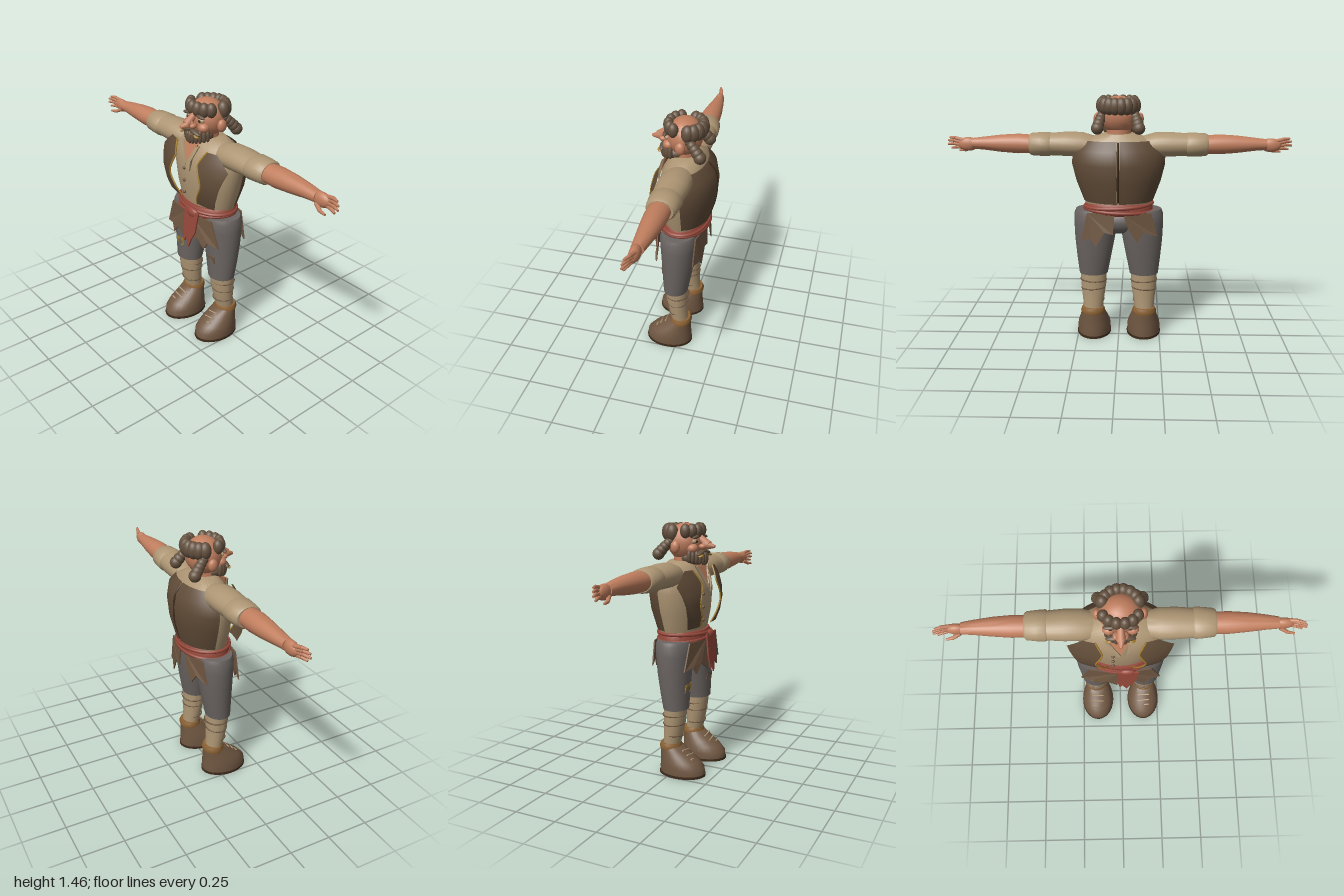
import * as THREE from 'three';
import { toCreasedNormals } from 'three/addons/utils/BufferGeometryUtils.js';

const V = (x, y, z) => new THREE.Vector3(x, y, z);

// Skin elliptical sections [height, cx, cz, rx, rz], angle 0 facing +z
function loft(rows, n = 28, t0 = 0, t1 = Math.PI * 2, caps = true) {
  const pos = [], idx = [], w = n + 1;
  for (const [h, cx, cz, rx, rz] of rows) for (let j = 0; j <= n; j++) {
    const t = t0 + (t1 - t0) * j / n;
    pos.push(cx + rx * Math.sin(t), h, cz + rz * Math.cos(t));
  }
  for (let i = 0; i < rows.length - 1; i++) for (let j = 0; j < n; j++) {
    const a = i * w + j, b = a + 1, c = b + w, d = a + w;
    idx.push(a, b, c, a, c, d);
  }
  if (caps) [0, rows.length - 1].forEach((i, top) => {
    const [h, cx, cz] = rows[i], m = pos.length / 3;
    pos.push(cx, h, cz);
    for (let j = 0; j < n; j++) {
      const a = i * w + j;
      top ? idx.push(m, a, a + 1) : idx.push(m, a + 1, a);
    }
  });
  const g = new THREE.BufferGeometry();
  g.setAttribute('position', new THREE.Float32BufferAttribute(pos, 3));
  g.setIndex(idx);
  return toCreasedNormals(g, 0.8);
}

// Loft running along +x: rows are [x, cz, cy, rz, ry]
function limb(rows) {
  const g = loft(rows, 24), p = g.attributes.position;
  for (let i = 0; i < p.count; i++) p.setXYZ(i, p.getY(i), p.getZ(i), p.getX(i));
  return toCreasedNormals(g, 0.8);
}

function blob(x, y, z, rx, ry, rz, tilt = 0) {
  return new THREE.SphereGeometry(1, 16, 12).scale(rx, ry, rz).rotateZ(tilt).translate(x, y, z);
}

// Tapered rod between two points
function rod(a, b, r0, r1) {
  const d = b.clone().sub(a), g = new THREE.CylinderGeometry(r1, r0, d.length(), 10);
  g.applyQuaternion(new THREE.Quaternion().setFromUnitVectors(V(0, 1, 0), d.clone().normalize()));
  const m = a.clone().add(b).multiplyScalar(0.5);
  return g.translate(m.x, m.y, m.z);
}

// Thin cloth cut from an outline, bent by z = f(x, y)
function cloth(points, f, depth = 0.008) {
  const g = new THREE.ExtrudeGeometry(new THREE.Shape(points.map(p => new THREE.Vector2(...p))),
    { depth, bevelEnabled: false });
  const p = g.attributes.position;
  for (let i = 0; i < p.count; i++) p.setZ(i, p.getZ(i) + f(p.getX(i), p.getY(i)));
  g.computeVertexNormals();
  return g;
}

function mirror(geo) {
  const g = geo.index ? geo.toNonIndexed() : geo.clone();
  g.scale(-1, 1, 1);
  for (const k of ['position', 'normal']) {
    const a = g.attributes[k], u = V(0, 0, 0), v = V(0, 0, 0);
    for (let i = 0; i < a.count; i += 3) {
      u.fromBufferAttribute(a, i + 1); v.fromBufferAttribute(a, i + 2);
      a.setXYZ(i + 1, v.x, v.y, v.z); a.setXYZ(i + 2, u.x, u.y, u.z);
    }
  }
  return g;
}

export function createModel() {
  const root = new THREE.Group();
  root.name = 'villager';
  const mat = (name, color, side = THREE.FrontSide) => {
    const m = new THREE.MeshStandardMaterial({ color, side });
    m.name = name;
    return m;
  };
  const skin = mat('skin', 0xc07e5e), hair = mat('hair', 0x64513f), cream = mat('linen', 0xae9674);
  const vest = mat('vestBrown', 0x604b37, THREE.DoubleSide), grey = mat('trouserGrey', 0x6b6562);
  const red = mat('sashRed', 0x96483a), leather = mat('leather', 0x705742);
  const gold = mat('gold', 0xa8802e), dark = mat('sole', 0x3e2b1b), tan = mat('tan', 0x8c6234);
  const add = (name, geo, m) => {
    const o = new THREE.Mesh(geo, m);
    o.name = name;
    root.add(o);
  };
  const pair = (name, geo, m) => {
    add(name + 'Left', geo, m);
    add(name + 'Right', mirror(geo), m);
  };

  // Shirt body, neck and open collar
  add('shirt', loft([[0.83, 0, -0.01, 0.19, 0.12], [0.95, 0, -0.01, 0.225, 0.14], [1.08, 0, -0.01, 0.25, 0.145],
    [1.16, 0, -0.01, 0.245, 0.13], [1.21, 0, -0.015, 0.215, 0.105], [1.25, 0, -0.015, 0.1, 0.075]]), cream);
  add('neck', loft([[1.16, 0, 0.01, 0.08, 0.09], [1.24, 0, 0.01, 0.072, 0.075], [1.31, 0, 0, 0.07, 0.07]]), skin);
  const chestZ = (x, y) => 0.137 - Math.max(0, y - 1.14) * 0.4 - x * x;
  add('chest', cloth([[-0.075, 1.225], [0, 1.12], [0.05, 1.225]], chestZ), skin);
  add('collarLeft', cloth([[0.07, 1.225], [0.04, 1.21], [0, 1.115], [0.025, 1.07], [0.035, 1.13]],
    (x, y) => chestZ(x, y) + 0.007), cream);
  add('collarRight', cloth([[-0.09, 1.225], [-0.065, 1.225], [0, 1.115], [-0.012, 1.1]],
    (x, y) => chestZ(x, y) + 0.007), cream);
  for (const y of [1.065, 0.99, 0.915]) add('button', blob(-0.042, y, 0.135, 0.01, 0.01, 0.008), leather);

  // Vest: curved back halves and bulging front panels with gold edging
  pair('vestBack', loft([[0.86, 0, 0, 0.205, 0.152], [0.98, 0, 0, 0.25, 0.183], [1.08, 0, 0, 0.275, 0.19],
    [1.16, 0, 0, 0.268, 0.175], [1.215, 0, 0, 0.22, 0.13]], 14, 1.78, 3.11, false), vest);
  add('vestSeam', new THREE.TubeGeometry(new THREE.CatmullRomCurve3([V(0, 0.87, -0.15), V(0, 0.98, -0.18),
    V(0, 1.08, -0.187), V(0, 1.16, -0.172), V(0, 1.21, -0.13)]), 16, 0.006, 6), dark);
  const rows = [[0.88, 0.07, 0.2], [0.94, 0.1, 0.225], [1.02, 0.138, 0.252], [1.08, 0.12, 0.272],
    [1.13, 0.1, 0.29], [1.17, 0.115, 0.25], [1.21, 0.135, 0.2]];
  const panelZ = (x, y) => 0.168 - 1.7 * (y - 1.03) ** 2 - 1.4 * Math.max(0, x - 0.08) ** 2;
  const pos = [], idx = [];
  rows.forEach(([y, a, b], i) => {
    for (let j = 0; j < 6; j++) {
      const x = a + (b - a) * j / 5, k = i * 6 + j;
      pos.push(x, y, panelZ(x, y));
      if (i < rows.length - 1 && j < 5) idx.push(k, k + 1, k + 7, k, k + 7, k + 6);
    }
  });
  const panel = new THREE.BufferGeometry();
  panel.setAttribute('position', new THREE.Float32BufferAttribute(pos, 3));
  panel.setIndex(idx);
  panel.computeVertexNormals();
  pair('vestFront', panel, vest);
  pair('vestTrim', new THREE.TubeGeometry(new THREE.CatmullRomCurve3(
    rows.map(([y, a]) => V(a, y, panelZ(a, y)))), 24, 0.005, 6), gold);

  // Sash with wraps and hanging end
  add('sash', loft([[0.785, 0, -0.005, 0.185, 0.13], [0.795, 0, -0.005, 0.2, 0.14], [0.835, 0, -0.005, 0.2, 0.14],
    [0.853, 0, -0.005, 0.188, 0.132]], 36), red);
  for (const [y, tilt] of [[0.805, 0.04], [0.832, -0.05]])
    add('sashFold', new THREE.TorusGeometry(0.199, 0.01, 8, 40).rotateX(Math.PI / 2).scale(1, 1, 0.72)
      .rotateZ(tilt).translate(0, y, -0.005), red);
  add('sashEnd', cloth([[-0.02, 0.83], [-0.022, 0.7], [-0.005, 0.62], [0.01, 0.65], [0.035, 0.595], [0.055, 0.65],
    [0.085, 0.7], [0.105, 0.83]], (x, y) => 0.142 + (0.83 - y) * 0.09, 0.009), red);
  add('sashKnot', blob(0.04, 0.815, 0.14, 0.05, 0.03, 0.02), red);

  // Ragged coat tails, front and back
  const tail = [[-0.02, 0.8], [-0.18, 0.8], [-0.235, 0.645], [-0.165, 0.66], [-0.14, 0.615], [-0.09, 0.67], [-0.02, 0.625]];
  pair('frontTail', cloth(tail.slice().reverse(), (x, y) => 0.136 - x * x * 0.8 + (0.8 - y) * 0.08), leather);
  add('backTailRight', cloth([[-0.03, 0.8], [-0.19, 0.8], [-0.23, 0.66], [-0.15, 0.69], [-0.11, 0.63], [-0.06, 0.71]],
    (x, y) => -0.142 + x * x * 0.9 - (0.8 - y) * 0.05), leather);
  add('backTailLeft', cloth([[0.02, 0.8], [0.18, 0.8], [0.22, 0.63], [0.16, 0.65], [0.13, 0.6], [0.08, 0.69], [0.03, 0.68]],
    (x, y) => -0.142 + x * x * 0.9 - (0.8 - y) * 0.05), leather);

  // Trousers, knee patches, leg wraps
  add('trouserSeat', blob(0, 0.735, 0, 0.14, 0.085, 0.1), grey);
  pair('trouserLeg', loft([[0.4, 0.152, 0.015, 0.086, 0.073], [0.5, 0.148, 0.008, 0.101, 0.084],
    [0.62, 0.142, 0.002, 0.118, 0.096], [0.72, 0.136, 0, 0.128, 0.105], [0.78, 0.134, 0, 0.128, 0.108],
    [0.805, 0.13, 0, 0.122, 0.1]]), grey);
  const patch = x => cloth([[x - 0.035, 0.505], [x + 0.02, 0.5], [x + 0.036, 0.515], [x + 0.034, 0.555], [x - 0.03, 0.55]],
    (px, py) => 0.09 - (py - 0.53) * -0.1 - (Math.abs(px) - 0.148) ** 2 * 5);
  add('goldPatch', patch(-0.15), gold);
  add('brownPatch', patch(0.145), leather);
  pair('legWrap', loft([[0.17, 0.155, -0.012, 0.057, 0.05], [0.25, 0.154, 0, 0.066, 0.056],
    [0.34, 0.152, 0.008, 0.077, 0.064], [0.41, 0.152, 0.01, 0.079, 0.067]]), cream);
  for (const [y, r, tilt] of [[0.36, 0.077, 0.04], [0.31, 0.072, -0.06], [0.235, 0.063, 0.08]])
    pair('wrapBand', new THREE.TorusGeometry(r, 0.004, 6, 28).rotateX(Math.PI / 2).scale(1, 1, 0.86)
      .rotateZ(tilt).translate(0.153, y, 0.004), leather);

  // Shoes
  pair('shoeSole', loft([[0, 0.153, 0.057, 0.104, 0.143], [0.014, 0.153, 0.057, 0.104, 0.143]]), dark);
  pair('shoe', loft([[0.014, 0.153, 0.057, 0.1, 0.139], [0.05, 0.153, 0.056, 0.101, 0.138], [0.085, 0.153, 0.042, 0.095, 0.12],
    [0.115, 0.153, 0.022, 0.085, 0.1], [0.145, 0.154, 0.002, 0.076, 0.079], [0.168, 0.155, -0.012, 0.068, 0.065]]), leather);
  pair('shoeCollar', loft([[0.152, 0.156, -0.016, 0.07, 0.064], [0.17, 0.156, -0.018, 0.074, 0.066],
    [0.19, 0.156, -0.018, 0.066, 0.058]]), tan);
  for (const [y, z] of [[0.145, 0.083], [0.122, 0.114], [0.1, 0.139]])
    pair('lace', rod(V(0.115, y - 0.006, z - 0.008), V(0.19, y + 0.008, z - 0.008), 0.005, 0.005), cream);

  // Arms: sleeve, rolled cuff, forearm, hand
  pair('sleeve', limb([[0.14, -0.01, 1.175, 0.075, 0.06], [0.21, -0.008, 1.185, 0.09, 0.07],
    [0.3, -0.008, 1.187, 0.09, 0.07], [0.4, -0.008, 1.185, 0.082, 0.064]]), cream);
  pair('cuff', limb([[0.385, -0.008, 1.185, 0.08, 0.062], [0.4, -0.008, 1.185, 0.09, 0.069], [0.45, -0.008, 1.185, 0.086, 0.068],
    [0.5, -0.008, 1.185, 0.08, 0.065], [0.512, -0.008, 1.185, 0.07, 0.058]]), cream);
  pair('forearm', limb([[0.48, -0.005, 1.185, 0.06, 0.052], [0.58, -0.005, 1.187, 0.062, 0.057], [0.68, -0.005, 1.188, 0.054, 0.05],
    [0.78, -0.003, 1.188, 0.042, 0.038], [0.85, 0, 1.186, 0.033, 0.031]]), skin);
  pair('palm', blob(0.875, 1.182, 0.002, 0.06, 0.04, 0.028), skin);
  for (const [a, m, b] of [
    [V(0.9, 1.205, -0.005), V(0.95, 1.217, 0.005), V(0.985, 1.218, 0.018)],
    [V(0.91, 1.193, -0.003), V(0.96, 1.202, 0.01), V(0.998, 1.2, 0.024)],
    [V(0.91, 1.178, 0), V(0.96, 1.183, 0.012), V(1, 1.178, 0.026)],
    [V(0.9, 1.163, 0), V(0.945, 1.163, 0.012), V(0.98, 1.156, 0.024)],
    [V(0.86, 1.16, 0.02), V(0.9, 1.142, 0.038), V(0.94, 1.138, 0.045)]]) {
    pair('fingerBase', rod(a, m, 0.012, 0.01), skin);
    pair('fingerTip', rod(m, b, 0.01, 0.006), skin);
  }

  // Head and face
  add('head', blob(0, 1.355, 0, 0.115, 0.108, 0.102), skin);
  pair('ear', blob(0.122, 1.332, -0.005, 0.022, 0.036, 0.028), skin);
  pair('cheek', blob(0.062, 1.322, 0.075, 0.034, 0.028, 0.032), skin);
  add('noseBridge', rod(V(0, 1.385, 0.09), V(0, 1.34, 0.145), 0.018, 0.026), skin);
  add('noseTip', rod(V(0, 1.34, 0.12), V(0, 1.333, 0.186), 0.032, 0.008), skin);
  pair('nostril', blob(0.024, 1.332, 0.118, 0.018, 0.016, 0.022), skin);
  pair('eye', blob(0.052, 1.361, 0.083, 0.022, 0.015, 0.015), cream);
  pair('pupil', blob(0.052, 1.361, 0.097, 0.009, 0.009, 0.004), dark);
  pair('brow', blob(0.055, 1.386, 0.093, 0.036, 0.01, 0.014, -0.12), hair);

  // Beard strands and moustache
  add('beard', blob(0, 1.265, 0.045, 0.08, 0.045, 0.08), hair);
  for (let i = -5; i <= 5; i++) {
    const t = i * 0.27;
    add('beardStrand', blob(0.083 * Math.sin(t), 1.262 + 0.012 * Math.abs(t), 0.045 + 0.078 * Math.cos(t), 0.014, 0.038, 0.014), hair);
  }
  pair('moustache', blob(0.038, 1.298, 0.115, 0.044, 0.012, 0.018, -0.25), hair);
  pair('moustacheTip', blob(0.06, 1.283, 0.125, 0.018, 0.006, 0.014, -0.4), gold);
  add('lip', blob(0, 1.282, 0.122, 0.028, 0.006, 0.01), skin);

  // Curls round the bald crown, leaving the temples bare
  for (let i = 0; i < 6; i++) {
    const t = -1.1 + i * 0.44;
    add('frontCurl', blob(0.1 * Math.sin(t), 1.42, 0.005 + 0.083 * Math.cos(t), 0.03, 0.042, 0.03), hair);
  }
  for (let i = 0; i < 8; i++) {
    const t = Math.PI - 1.26 + i * 0.36;
    add('backCurl', blob(0.097 * Math.sin(t), 1.41, -0.01 + 0.09 * Math.cos(t), 0.035, 0.05, 0.035), hair);
  }
  // Beaded tufts hanging behind the ears
  for (let i = 0; i < 5; i++) {
    const k = i / 4, r = 0.026 + 0.009 * k;
    pair('tuft', blob(0.092 + 0.025 * k, 1.365 - 0.06 * k - 0.015 * k * k, -0.045 - 0.068 * k, r, r, r), hair);
  }
  return root;
}
